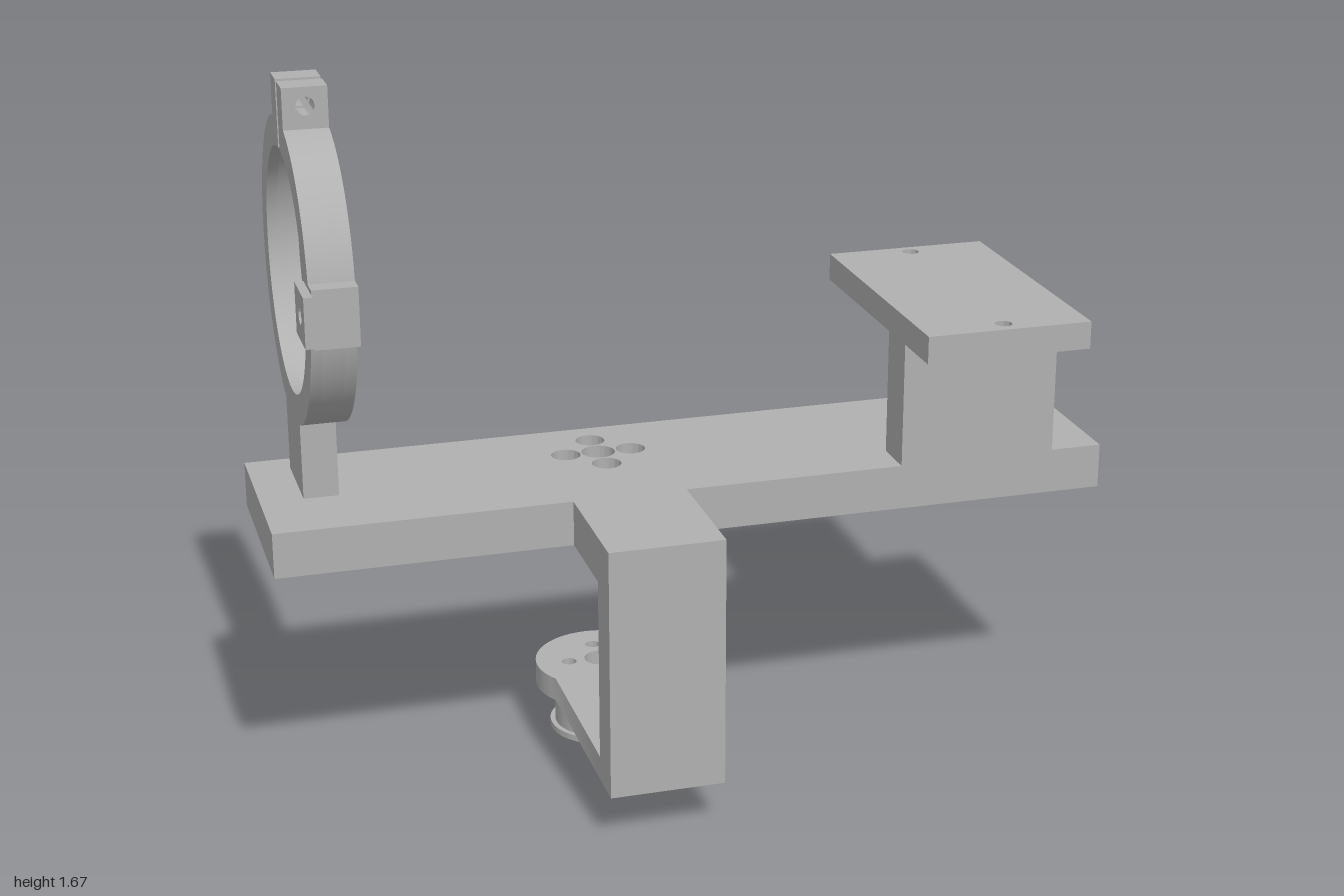
import * as THREE from 'three';
import { toCreasedNormals } from 'three/addons/utils/BufferGeometryUtils.js';

const HUB = [-0.175, -0.127]; // pivot axis (x, z)

function circlePath(x, y, r) {
  return new THREE.Path().absarc(x, y, r, 0, Math.PI * 2, true);
}

function polygon(points) {
  return new THREE.Shape(points.map(([x, y]) => new THREE.Vector2(x, y)));
}

function disc(r) {
  return new THREE.Shape().absarc(HUB[0], HUB[1], r, 0, Math.PI * 2, false);
}

// Four bolt holes around a central bore
function hubHoles(bolt, bore) {
  const list = [[HUB[0], HUB[1], bore]];
  for (const [dx, dz] of [[1, 0], [-1, 0], [0, 1], [0, -1]]) {
    list.push([HUB[0] + dx * 0.08, HUB[1] + dz * 0.08, bolt]);
  }
  return list;
}

function extrude(shape, holes, depth) {
  for (const [x, y, r] of holes) shape.holes.push(circlePath(x, y, r));
  return new THREE.ExtrudeGeometry(shape, { depth, bevelEnabled: false, curveSegments: 40 });
}

export function createModel() {
  const model = new THREE.Group();
  const grey = new THREE.MeshStandardMaterial({ color: 0xb0b0b0 });
  grey.name = 'grey';

  function add(name, geometry, parent = model) {
    const mesh = new THREE.Mesh(toCreasedNormals(geometry, 0.6), grey);
    mesh.name = name;
    parent.add(mesh);
    return mesh;
  }
  function box(name, x0, x1, y0, y1, z0, z1, parent) {
    const g = new THREE.BoxGeometry(x1 - x0, y1 - y0, z1 - z0);
    g.translate((x0 + x1) / 2, (y0 + y1) / 2, (z0 + z1) / 2);
    return add(name, g, parent);
  }
  // Horizontal slab: the outline is in (x, z)
  function slab(name, shape, holes, y0, y1, parent) {
    const g = extrude(shape, holes, y1 - y0);
    g.rotateX(Math.PI / 2).translate(0, y1, 0);
    return add(name, g, parent);
  }
  // Upright slab facing sideways: the outline is in (-z, y)
  function sideSlab(name, shape, holes, x0, x1, parent) {
    const g = extrude(shape, holes, x1 - x0);
    g.rotateY(Math.PI / 2).translate(x0, 0, 0);
    return add(name, g, parent);
  }

  // Base plate with front tongue, counterbored from above
  const base = new THREE.Group();
  base.name = 'basePlate';
  model.add(base);
  const basePoints = [[-1, -0.29], [1, -0.29], [1, 0.167], [-0.04, 0.167], [-0.04, 0.48],
    [-0.31, 0.48], [-0.31, 0.167], [-1, 0.167]];
  const screws = [[0.55, 0.115, 0.018], [0.815, 0.115, 0.018],
    [-0.86, -0.075, 0.018], [-0.86, -0.175, 0.018]];
  slab('basePlateLower', polygon(basePoints), [...hubHoles(0.018, 0.04), ...screws], 0.61, 0.665, base);
  slab('basePlateUpper', polygon(basePoints), hubHoles(0.035, 0.04), 0.665, 0.718, base);

  // Bracket below the tongue
  const bracket = new THREE.Group();
  bracket.name = 'bracket';
  model.add(bracket);
  box('bracketUpright', -0.31, -0.04, 0.116, 0.61, 0.384, 0.48, bracket);
  const r = 0.16, half = 0.135;
  const a = Math.acos(half / r);
  const arm = new THREE.Shape();
  arm.moveTo(HUB[0] + half, 0.384);
  arm.lineTo(HUB[0] - half, 0.384);
  arm.absarc(HUB[0], HUB[1], r, Math.PI - a, Math.PI * 2 + a, false);
  arm.closePath();
  slab('bracketArm', arm, hubHoles(0.018, 0.04), 0.116, 0.174, bracket);

  // Pivot boss and its foot flange
  slab('pivotBoss', disc(0.114), hubHoles(0.018, 0.03), 0.015, 0.116);
  slab('pivotFlange', disc(0.126), hubHoles(0.018, 0.03), 0, 0.015);

  // Raised platform
  box('platformRiser', 0.49, 0.875, 0.718, 1.03, 0.06, 0.167);
  slab('platform', polygon([[0.482, -0.345], [0.882, -0.345], [0.882, 0.333], [0.482, 0.333]]),
    [[0.682, -0.308, 0.02], [0.682, 0.29, 0.02]], 1.028, 1.094);

  // Split ring clamp with a groove inside
  const clamp = new THREE.Group();
  clamp.name = 'ringClamp';
  model.add(clamp);
  const cz = -0.127, cy = 1.235, outer = 0.353, gap = 0.01;
  function ringShape(inner) {
    const ao = Math.asin(gap / outer), ai = Math.asin(gap / inner);
    const s = new THREE.Shape();
    s.absarc(-cz, cy, outer, Math.PI / 2 + ao, Math.PI * 2.5 - ao, false);
    s.absarc(-cz, cy, inner, Math.PI * 2.5 - ai, Math.PI / 2 + ai, true);
    s.closePath();
    return s;
  }
  [[-0.9, -0.875, 0.283], [-0.875, -0.825, 0.303], [-0.825, -0.798, 0.283]].forEach(([x0, x1, inner]) =>
    sideSlab('clampRing', ringShape(inner), [], x0, x1, clamp));

  // Clamp ears, drilled front to back
  for (const side of [-1, 1]) {
    const ear = polygon([[-0.9, 1.56], [-0.798, 1.56], [-0.798, 1.673], [-0.9, 1.673]]);
    const g = extrude(ear, [[-0.849, 1.63, 0.021]], 0.071);
    g.translate(0, 0, side > 0 ? cz + gap : cz - gap - 0.071);
    add('clampEar', g, clamp);
  }

  // Front lug with a drilled side plate
  box('clampLug', -0.9, -0.798, 1.17, 1.305, 0.19, 0.263, clamp);
  sideSlab('lugPlate', polygon([[-0.282, 1.18], [-0.157, 1.18], [-0.157, 1.295], [-0.282, 1.295]]),
    [[-0.22, 1.238, 0.02]], -0.92, -0.9, clamp);

  // Post carrying the ring
  box('clampPost', -0.9, -0.818, 0.718, 0.915, -0.23, -0.023, clamp);

  return model;
}
